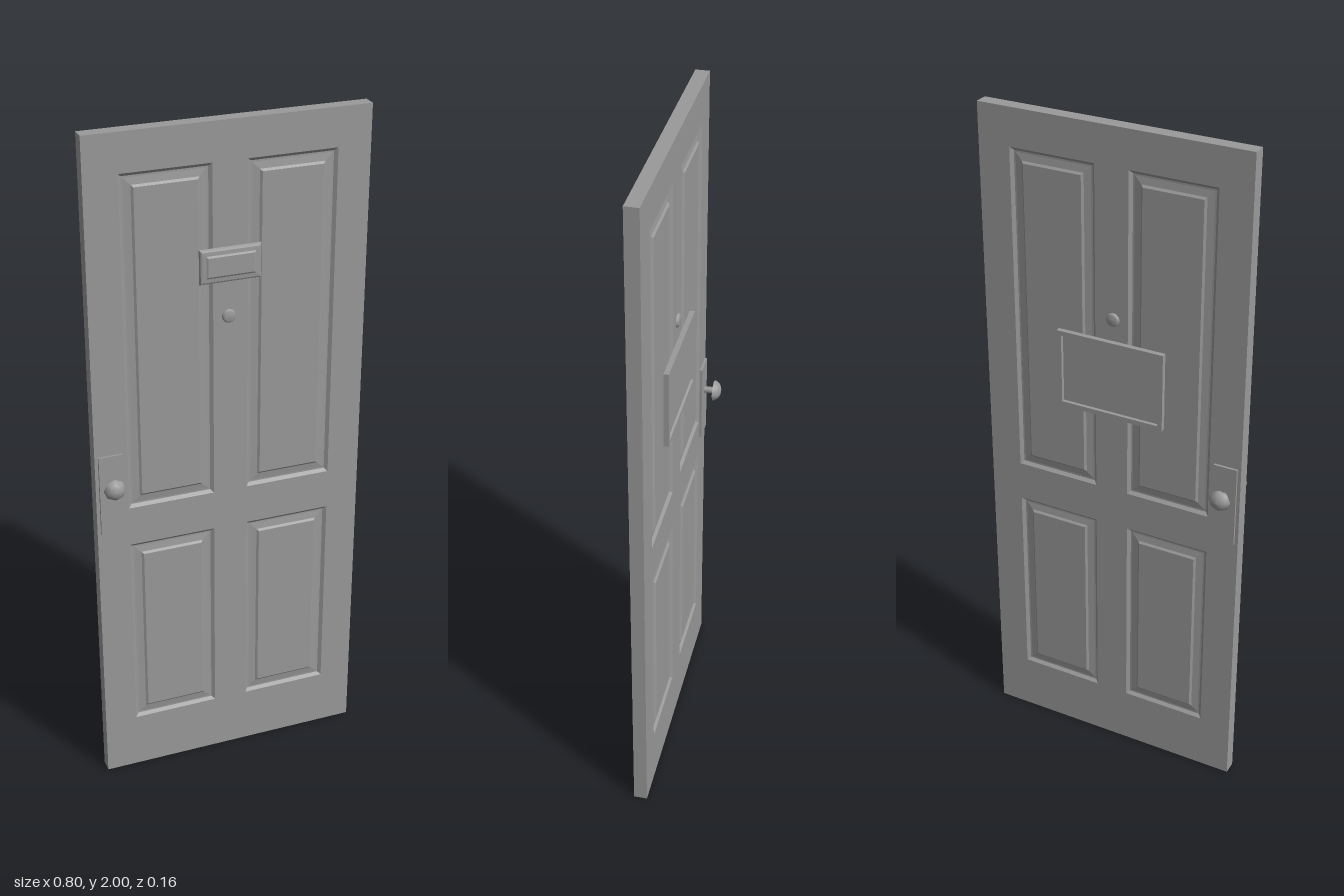
import * as THREE from 'three';

const HALF = 0.02; // half the slab thickness
const COLOR = 0x9a9a9a;
const material = new THREE.MeshStandardMaterial({ color: COLOR, flatShading: true });
const smooth = new THREE.MeshStandardMaterial({ color: COLOR });

function add(parent, name, geometry, mat = material) {
  const mesh = new THREE.Mesh(geometry, mat);
  mesh.name = name;
  parent.add(mesh);
  return mesh;
}

// Nested rectangles, each level [inset, z], joined by sloped bands and closed by a flat centre.
function relief(x0, x1, y0, y1, levels) {
  const positions = [];
  const quad = (a, b, c, d) => positions.push(...a, ...b, ...c, ...a, ...c, ...d);
  const rings = levels.map(([i, z]) => [
    [x0 + i, y0 + i, z], [x1 - i, y0 + i, z], [x1 - i, y1 - i, z], [x0 + i, y1 - i, z],
  ]);
  for (let r = 0; r < rings.length - 1; r++) {
    for (let k = 0; k < 4; k++) {
      const n = (k + 1) % 4;
      quad(rings[r][k], rings[r][n], rings[r + 1][n], rings[r + 1][k]);
    }
  }
  quad(...rings[rings.length - 1]);
  const geometry = new THREE.BufferGeometry();
  geometry.setAttribute('position', new THREE.Float32BufferAttribute(positions, 3));
  geometry.computeVertexNormals();
  return geometry;
}

// Turned part whose axis points along +z; profile is [radius, z].
function turned(profile, x, y, sides) {
  const points = profile.map(([r, z]) => new THREE.Vector2(r, z));
  return new THREE.LatheGeometry(points, sides).rotateX(Math.PI / 2).translate(x, y, 0);
}

const panels = [];
for (const [y0, y1] of [[0.91, 1.89], [0.175, 0.79]]) {
  for (const [x0, x1] of [[-0.305, -0.05], [0.05, 0.305]]) panels.push([x0, x1, y0, y1]);
}

function slab() {
  const shape = new THREE.Shape();
  shape.moveTo(-0.4, 0).lineTo(0.4, 0).lineTo(0.4, 2).lineTo(-0.4, 2).closePath();
  for (const [x0, x1, y0, y1] of panels) {
    const hole = new THREE.Path();
    hole.moveTo(x0, y0).lineTo(x0, y1).lineTo(x1, y1).lineTo(x1, y0).closePath();
    shape.holes.push(hole);
  }
  return new THREE.ExtrudeGeometry(shape, { depth: 2 * HALF, bevelEnabled: false }).translate(0, 0, -HALF);
}

// Parts found on both faces; s mirrors x for the face that is turned around.
function face(s) {
  const group = new THREE.Group();

  // Moulded groove, shallow slope and small step up to the field
  for (const p of panels) {
    add(group, 'panel', relief(...p, [
      [0, HALF], [0.009, 0.012], [0.014, 0.012], [0.034, 0.015], [0.04, HALF],
    ]));
  }

  // Lock plate and knob
  const kx = -0.355 * s;
  add(group, 'lockPlate', relief(kx - 0.035, kx + 0.035, 0.845, 1.09, [[0, HALF], [0, 0.027]]));
  add(group, 'knobStem', turned([[0.01, 0.024], [0.01, 0.06]], kx, 1.0, 8), smooth);
  add(group, 'knob', turned([
    [0, 0.056], [0.032, 0.056], [0.032, 0.056], [0.029, 0.064], [0.022, 0.072], [0.012, 0.077], [0, 0.079],
  ], kx, 1.0, 8), smooth);

  // Viewer lens
  add(group, 'peephole', turned([
    [0.02, HALF], [0.019, 0.025], [0.014, 0.028], [0, 0.029],
  ], -0.005 * s, 1.455, 12), smooth);
  return group;
}

export function createModel() {
  const door = new THREE.Group();
  door.name = 'door';
  add(door, 'doorSlab', slab());

  const front = face(1);
  front.name = 'frontFace';
  // Letter plate with a raised flap
  add(front, 'letterPlate', relief(-0.09, 0.088, 1.555, 1.655, [
    [0, HALF], [0.003, 0.026], [0.007, 0.028], [0.018, 0.029], [0.023, 0.032],
  ]));

  const back = face(-1);
  back.name = 'backFace';
  back.rotation.y = Math.PI;
  // Framed board with a sunken middle
  add(back, 'backBoard', relief(-0.164, 0.164, 1.155, 1.39, [
    [0, HALF], [0, 0.035], [0.014, 0.035], [0.017, 0.029],
  ]));

  door.add(front, back);
  return door;
}
